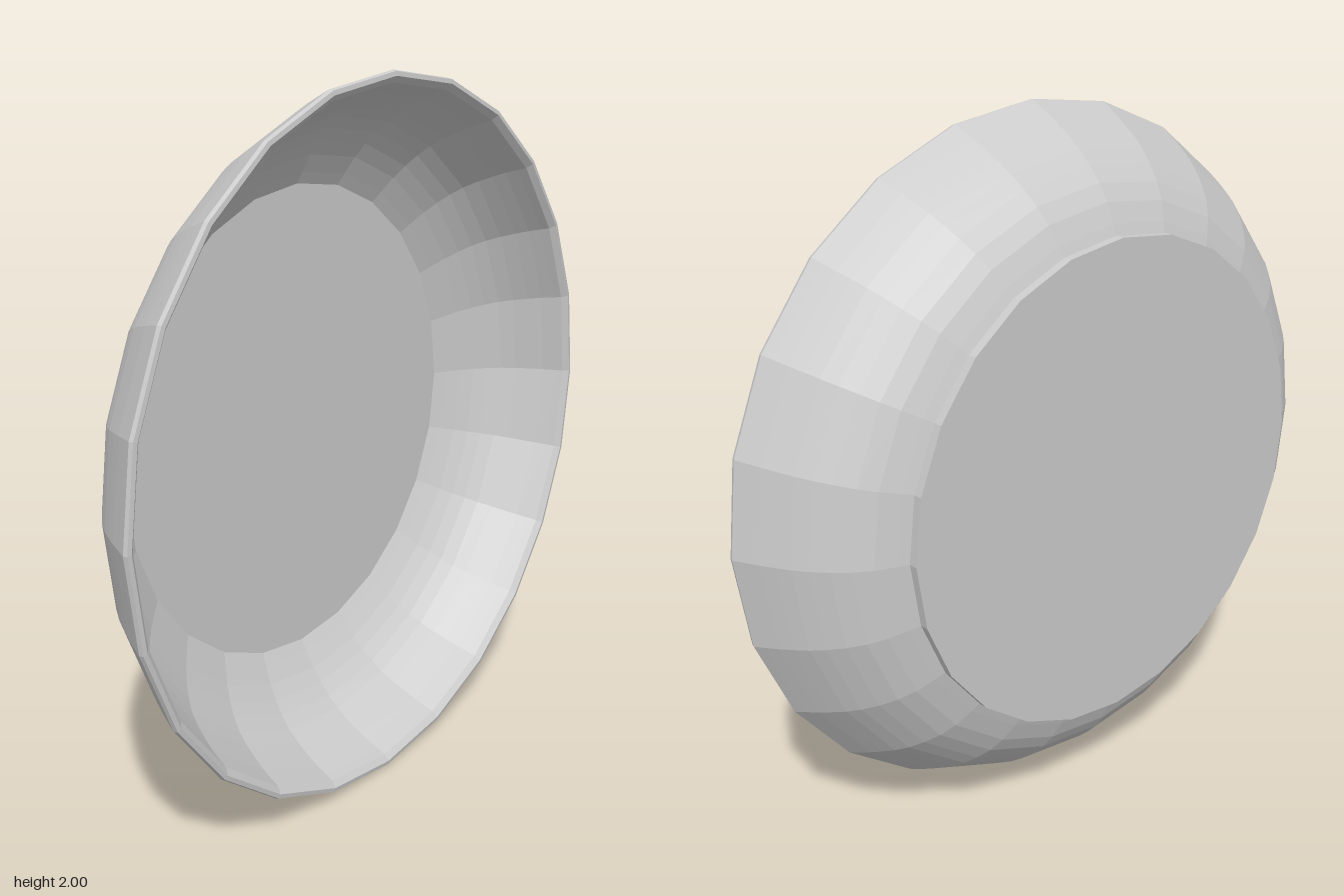
import * as THREE from 'three';

const SIDES = 24;

// Smooth curve through a few [radius, depth] points
function curve(points, divisions) {
  return new THREE.SplineCurve(points.map(([r, z]) => new THREE.Vector2(r, z))).getPoints(divisions);
}

export function createModel() {
  const group = new THREE.Group();
  group.name = 'bowl';
  const material = new THREE.MeshStandardMaterial({ color: 0xcccccc, flatShading: true });

  // Adds a round part whose axis points to the front
  function add(name, geometry, z = 0) {
    geometry.rotateX(Math.PI / 2);
    const mesh = new THREE.Mesh(geometry, material);
    mesh.name = name;
    mesh.position.set(0, 1, z);
    group.add(mesh);
  }

  // Curved wall: outside from base to rim, over the lip, back down the inside
  const outside = curve([[0.685, -0.155], [0.8, -0.105], [0.895, -0.015], [0.955, 0.078], [1, 0.165]], 10);
  const lip = [new THREE.Vector2(0.997, 0.176), new THREE.Vector2(0.985, 0.178)];
  const inside = curve([[0.968, 0.163], [0.935, 0.085], [0.875, -0.015], [0.79, -0.092], [0.685, -0.153]], 10);
  add('wall', new THREE.LatheGeometry([...outside, ...lip, ...inside], SIDES));

  // Flat base disc, forming the floor inside and the foot at the back
  add('base', new THREE.CylinderGeometry(0.695, 0.695, 0.026, SIDES), -0.165);

  return group;
}
